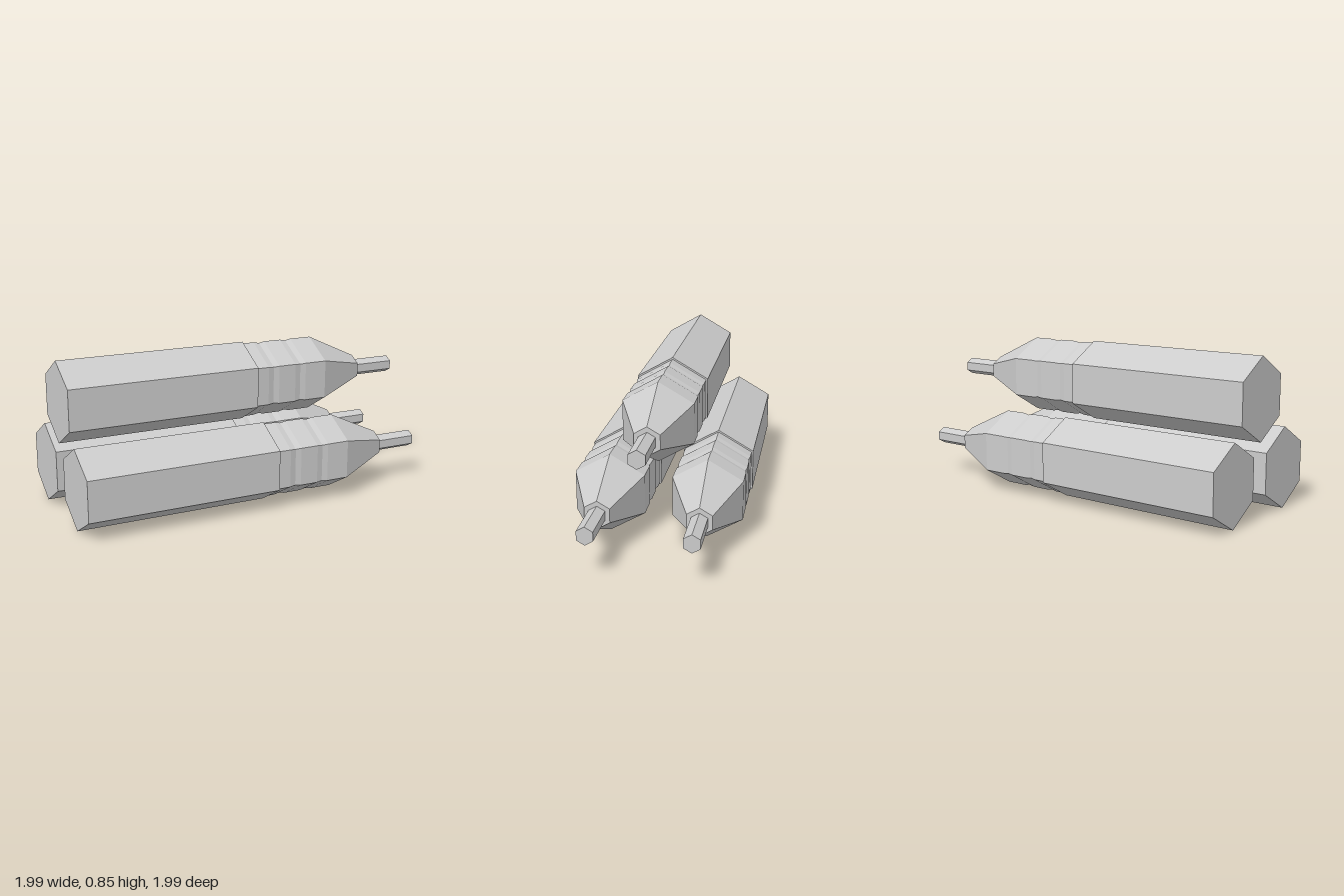
import * as THREE from 'three';

export function createModel() {
  const group = new THREE.Group();
  group.name = 'penStack';
  const grey = new THREE.MeshStandardMaterial({ color: 0xcccccc, flatShading: true });
  grey.name = 'lightGrey';

  // six-sided turned part; profile is [radius, distance along the pen / sqrt2]
  const hexPart = (name, profile) => {
    const points = profile.map(([r, s]) => new THREE.Vector2(r, s * Math.SQRT2));
    const mesh = new THREE.Mesh(new THREE.LatheGeometry(points, 6), grey);
    mesh.name = name;
    return mesh;
  };

  // pens point diagonally to the back right, with a hexagon corner upwards
  const k = Math.SQRT1_2;
  const basis = new THREE.Matrix4().makeBasis(
    new THREE.Vector3(k, 0, k),
    new THREE.Vector3(k, 0, -k),
    new THREE.Vector3(0, 1, 0)
  );

  const G = 0.213; // grip radius
  const D = 0.206; // groove radius

  const makePen = (name, x, y, z) => {
    const pen = new THREE.Group();
    pen.name = name;
    pen.add(
      // barrel with flat ends
      hexPart('barrel', [[0, 0], [0.223, 0], [0.223, 0.768], [0, 0.768]]),
      // grip with shallow grooves
      hexPart('grip', [
        [G, 0.768], [G, 0.818], [D, 0.842], [G, 0.865],
        [G, 0.938], [D, 0.962], [G, 0.985], [G, 1.076]
      ]),
      // tapered nose
      hexPart('nose', [[G, 1.076], [0.075, 1.288], [0, 1.288]]),
      // thin writing tip
      hexPart('tip', [[0.048, 1.286], [0.048, 1.464], [0, 1.464]])
    );
    pen.quaternion.setFromRotationMatrix(basis);
    pen.position.set(x, y, z);
    group.add(pen);
  };

  makePen('lowerLeftPen', -0.864, 0.223, 0.495);
  makePen('lowerRightPen', -0.5, 0.223, 0.859);
  makePen('upperPen', -0.682, 0.626, 0.677);

  return group;
}
